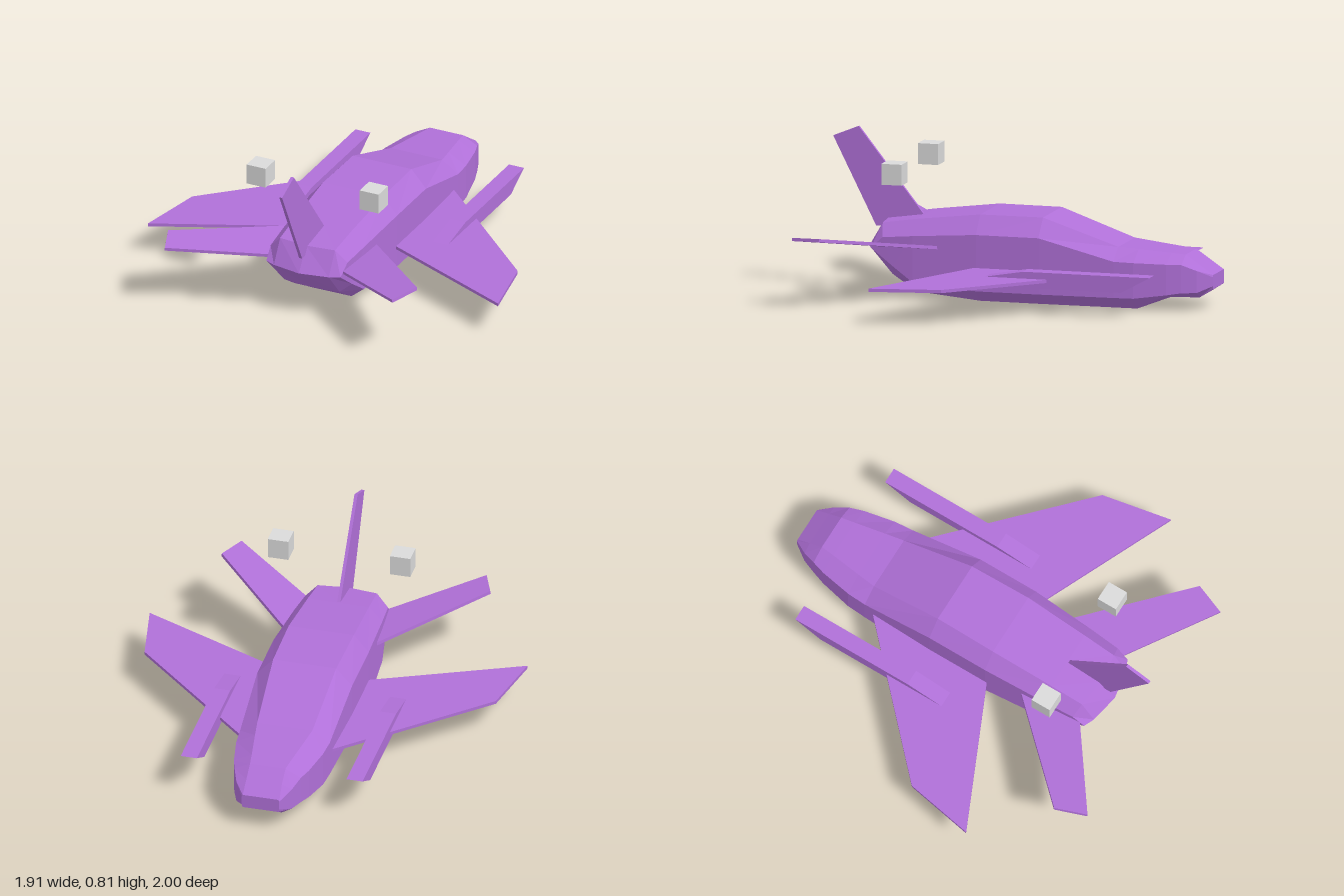
import * as THREE from 'three';

// Joins matching rings of points (running nose to tail, clockwise seen from the tail) into a faceted skin
function loft(rings, capFirst) {
  const pos = [];
  const tri = (...pts) => pts.forEach((p) => pos.push(...p));
  const n = rings[0].length;
  for (let i = 0; i < rings.length - 1; i++) {
    for (let j = 0; j < n; j++) {
      const k = (j + 1) % n;
      const a = rings[i][j], b = rings[i][k], c = rings[i + 1][k], d = rings[i + 1][j];
      tri(a, d, c);
      tri(a, c, b);
    }
  }
  if (capFirst) for (let j = 1; j < n - 1; j++) tri(rings[0][0], rings[0][j], rings[0][j + 1]);
  const geo = new THREE.BufferGeometry();
  geo.setAttribute('position', new THREE.Float32BufferAttribute(pos, 3));
  geo.computeVertexNormals();
  return geo;
}

// Thin flat plate from an outline, centred on its own plane
function plate(points, thickness = 0.016) {
  const shape = new THREE.Shape(points.map(([x, y]) => new THREE.Vector2(x, y)));
  return new THREE.ExtrudeGeometry(shape, { depth: thickness, bevelEnabled: false })
    .translate(0, 0, -thickness / 2);
}

// Ten-sided hull section; the tail end bows forward at the sides
function hullRing([zTop, zBot, topY, topX, shoulderY, sideX, lowY, botY, botX, bow = 0]) {
  const half = [[0, topY], [topX, topY], [sideX, shoulderY], [sideX, lowY], [botX, botY], [0, botY]];
  const point = (s) => ([x, y], i) => {
    const z = i < 3 ? zTop : zBot;
    return [s * x, y, z - bow * (x / 0.2) ** 2];
  };
  const right = half.map(point(1));
  const left = half.map(point(-1)).slice(1, 5).reverse();
  return [...right, ...left];
}

export function createModel() {
  const model = new THREE.Group();
  const purple = new THREE.MeshStandardMaterial({ color: 0xb070d8, side: THREE.DoubleSide });
  purple.name = 'purple paint';
  const grey = new THREE.MeshStandardMaterial({ color: 0xdadada });
  grey.name = 'light grey';

  const add = (name, geo, material = purple) => {
    const mesh = new THREE.Mesh(geo, material);
    mesh.name = name;
    model.add(mesh);
    return mesh;
  };

  // Hull: zTop, zBottom, topY, topX, shoulderY, sideX, lowerY, bottomY, bottomX, bow
  const sections = [
    [-1, -1, 0.175, 0.09, 0.165, 0.095, 0.12, 0.105, 0.09],
    [-0.93, -0.93, 0.222, 0.09, 0.2, 0.14, 0.09, 0.06, 0.09],
    [-0.86, -0.86, 0.27, 0.09, 0.23, 0.168, 0.09, 0.06, 0.1],
    [-0.79, -0.79, 0.277, 0.1, 0.232, 0.19, 0.08, 0.06, 0.12],
    [-0.63, -0.63, 0.291, 0.125, 0.237, 0.22, 0.06, 0, 0.15],
    [-0.53, -0.53, 0.3, 0.14, 0.24, 0.227, 0.06, 0, 0.152],
    [-0.15, -0.15, 0.43, 0.16, 0.34, 0.24, 0.06, 0, 0.16],
    [0.17, 0.17, 0.43, 0.165, 0.34, 0.24, 0.06, 0, 0.16],
    [0.5, 0.5, 0.39, 0.155, 0.315, 0.222, 0.085, 0.03, 0.155],
    [0.69, 0.64, 0.362, 0.15, 0.3, 0.21, 0.16, 0.11, 0.15, 0.03],
    [0.77, 0.77, 0.245, 0.15, 0.245, 0.203, 0.245, 0.245, 0.15, 0.05],
  ];
  add('hull', loft(sections.map(hullRing), true));

  // Upright tail fin
  add('tailFin', plate([[-0.5, 0.38], [-0.84, 0.81], [-0.97, 0.757], [-0.75, 0.32], [-0.5, 0.32]])
    .rotateY(Math.PI / 2));

  for (const [side, s] of [['left', 1], ['right', -1]]) {
    // Swept main wing
    const wing = [[0.15, -0.557], [0.89, 0.15], [0.957, 0.503], [0.15, 0.14]];
    add(side + 'Wing', plate(wing.map(([x, z]) => [s * x, -z])).rotateX(-Math.PI / 2).translate(0, 0.168, 0));

    // Tailplane, tilted upward from its root
    const tail = [[0.15, 0.29], [0.69, 0.84], [0.63, 0.995], [0.15, 0.655]];
    const tailplane = add(side + 'Tailplane',
      plate(tail.map(([x, z]) => [s * (x - 0.2), -z])).rotateX(-Math.PI / 2));
    tailplane.position.set(s * 0.2, 0.26, 0);
    tailplane.rotation.z = s * Math.atan(0.19);

    // Underwing pod with a raked open mouth and a wedge tail
    const podRing = (zTop, zBot, top, bot) => {
      const x0 = s * 0.42 - 0.041, x1 = s * 0.42 + 0.041;
      return [[x0, top, zTop], [x1, top, zTop], [x1, bot, zBot], [x0, bot, zBot]];
    };
    add(side + 'Pod', loft([
      podRing(-0.785, -0.64, 0.21, 0.13),
      podRing(-0.14, -0.14, 0.21, 0.13),
      podRing(0.09, 0.09, 0.17, 0.17),
    ], false));

    // Small floating marker block
    add(side + 'MarkerBlock', new THREE.BoxGeometry(0.104, 0.104, 0.104).translate(s * 0.309, 0.64, 0.565), grey);
  }
  return model;
}
